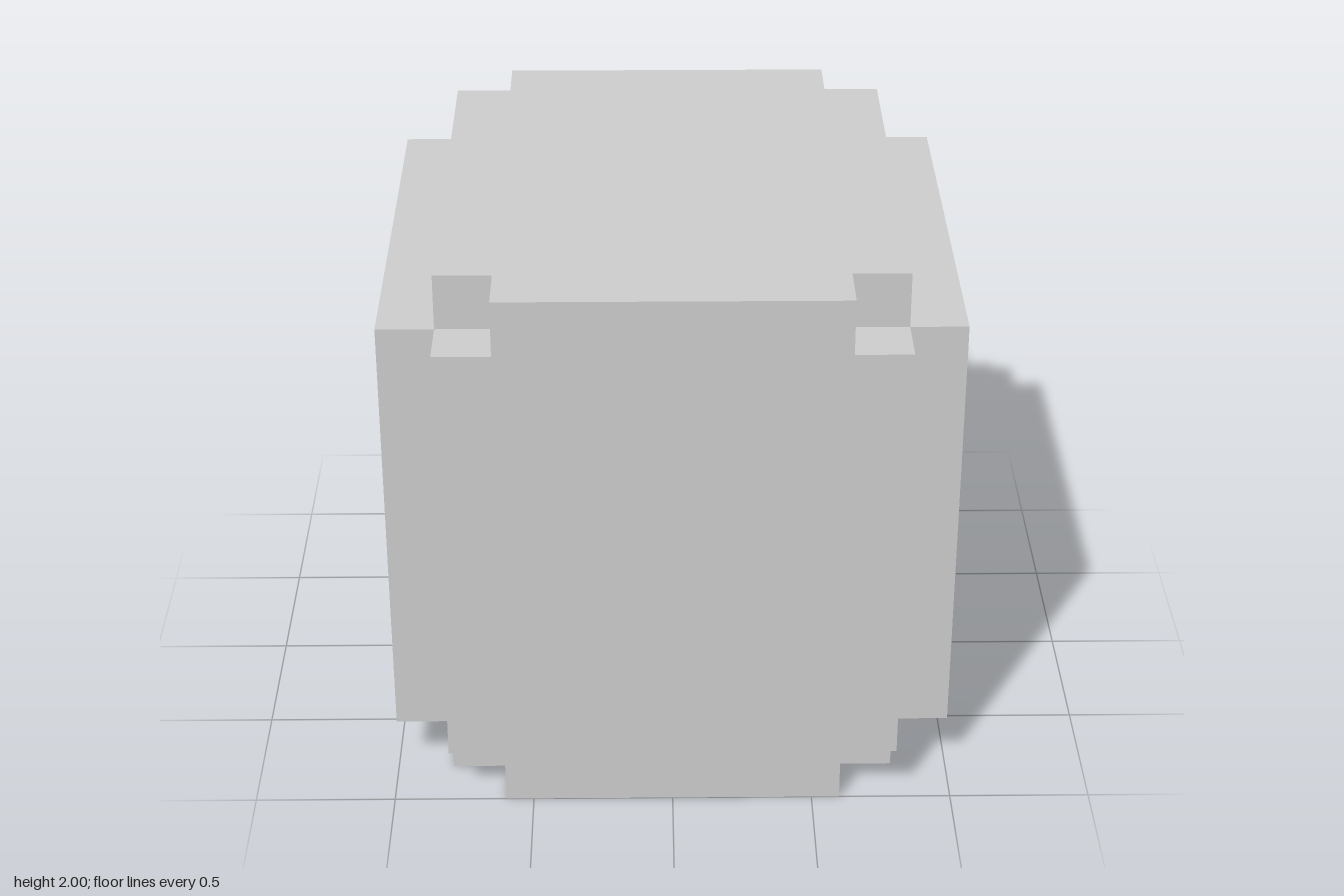
import * as THREE from 'three';

export function createModel() {
  const group = new THREE.Group();
  const material = new THREE.MeshStandardMaterial({ color: 0xcccccc, flatShading: true });
  const add = (name, geometry, x, y, z) => {
    const mesh = new THREE.Mesh(geometry, material);
    mesh.name = name;
    mesh.position.set(x, y, z);
    group.add(mesh);
  };

  // Core: plus-shaped section extruded along x
  const a = 0.8, b = 1;
  const plus = new THREE.Shape([
    [a, -a], [b, -a], [b, a], [a, a], [a, b], [-a, b],
    [-a, a], [-b, a], [-b, -a], [-a, -a], [-a, -b], [a, -b],
  ].map(([u, v]) => new THREE.Vector2(u, v)));
  const core = new THREE.ExtrudeGeometry(plus, { depth: 1.6, bevelEnabled: false });
  core.translate(0, 0, -0.8).rotateY(Math.PI / 2);
  add('core', core, 0, 1, 0);

  // Bars filling the four long edges, short of the corners
  const bar = new THREE.BoxGeometry(1.2, 0.2, 0.2);
  for (const [yName, y] of [['lower', 0.1], ['upper', 1.9]]) {
    for (const [zName, z] of [['Front', 0.9], ['Back', -0.9]]) {
      add(`${yName}${zName}EdgeBar`, bar, 0, y, z);
    }
  }

  // Raised square plates on both sides
  const plate = new THREE.BoxGeometry(0.2, 1.6, 1.6);
  add('leftPlate', plate, 0.9, 1, 0);
  add('rightPlate', plate, -0.9, 1, 0);

  return group;
}
